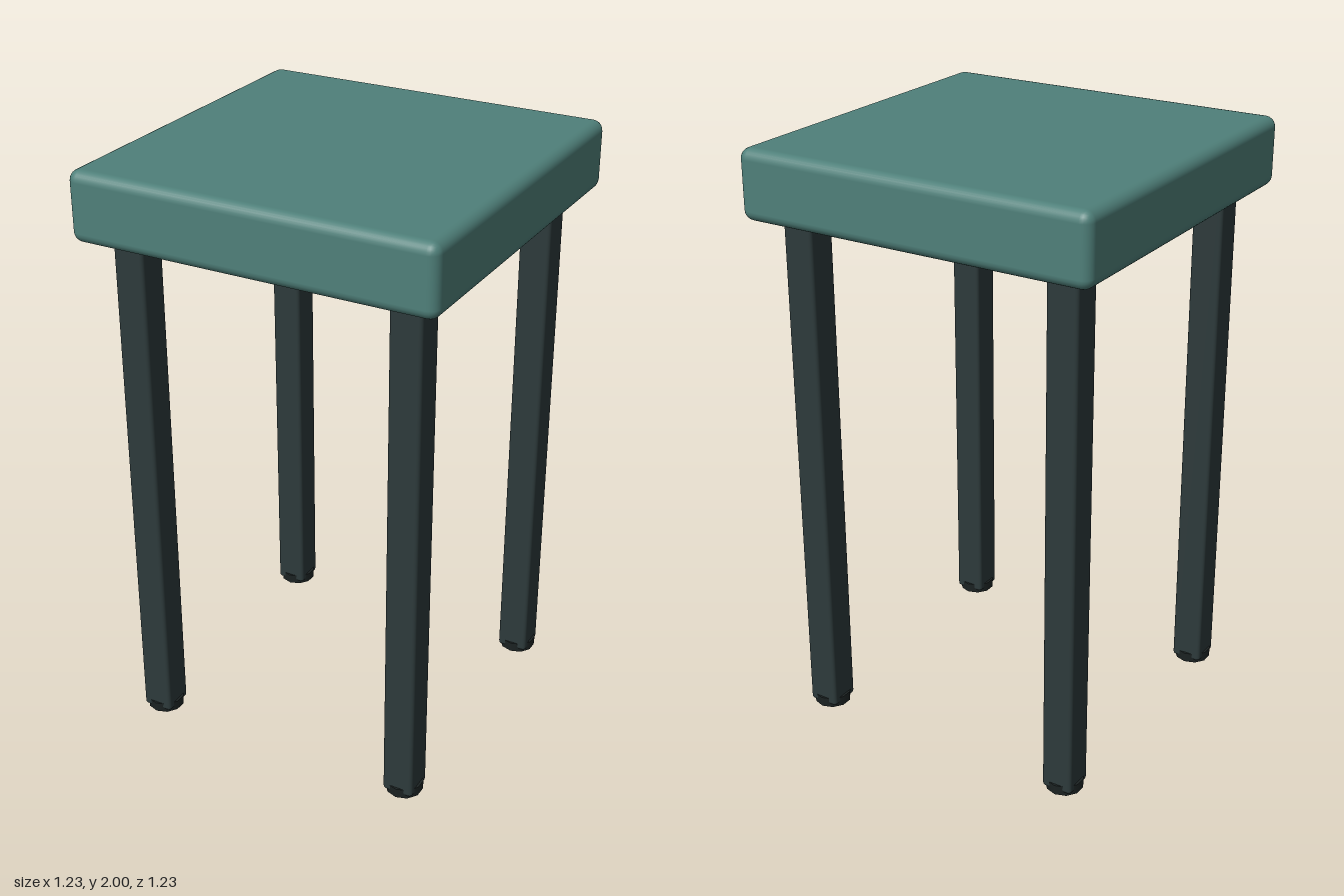
import * as THREE from 'three';
import { RoundedBoxGeometry } from 'three/addons/geometries/RoundedBoxGeometry.js';

function material(name, color) {
  const m = new THREE.MeshStandardMaterial({ color });
  m.name = name;
  return m;
}

export function createModel() {
  const stool = new THREE.Group();
  stool.name = 'stool';

  const seatTeal = material('seat teal', 0x4f807a);
  const legGrey = material('leg dark grey', 0x2d3a3b);
  const footBlack = material('foot black', 0x1c2323);

  const add = (parent, name, geometry, mat, x, y, z) => {
    const mesh = new THREE.Mesh(geometry, mat);
    mesh.name = name;
    mesh.position.set(x, y, z);
    parent.add(mesh);
  };

  // Thick square cushion with softened edges
  add(stool, 'seat', new RoundedBoxGeometry(1.226, 0.23, 1.226, 3, 0.035), seatTeal, 0, 1.885, 0);

  // Four square legs with small rounded edges, each on a round foot cap
  const legGeometry = new RoundedBoxGeometry(0.106, 1.78, 0.111, 2, 0.012);
  const footGeometry = new THREE.CylinderGeometry(0.064, 0.062, 0.035, 10);
  for (const [side, x] of [['Left', 0.473], ['Right', -0.473]]) {
    for (const [end, z] of [['front', 0.463], ['back', -0.463]]) {
      const leg = new THREE.Group();
      leg.name = `${end}${side}LegAssembly`;
      leg.position.set(x, 0, z);
      add(leg, `${end}${side}Leg`, legGeometry, legGrey, 0, 0.9, 0);
      add(leg, `${end}${side}Foot`, footGeometry, footBlack, 0, 0.0175, 0);
      stool.add(leg);
    }
  }
  return stool;
}
